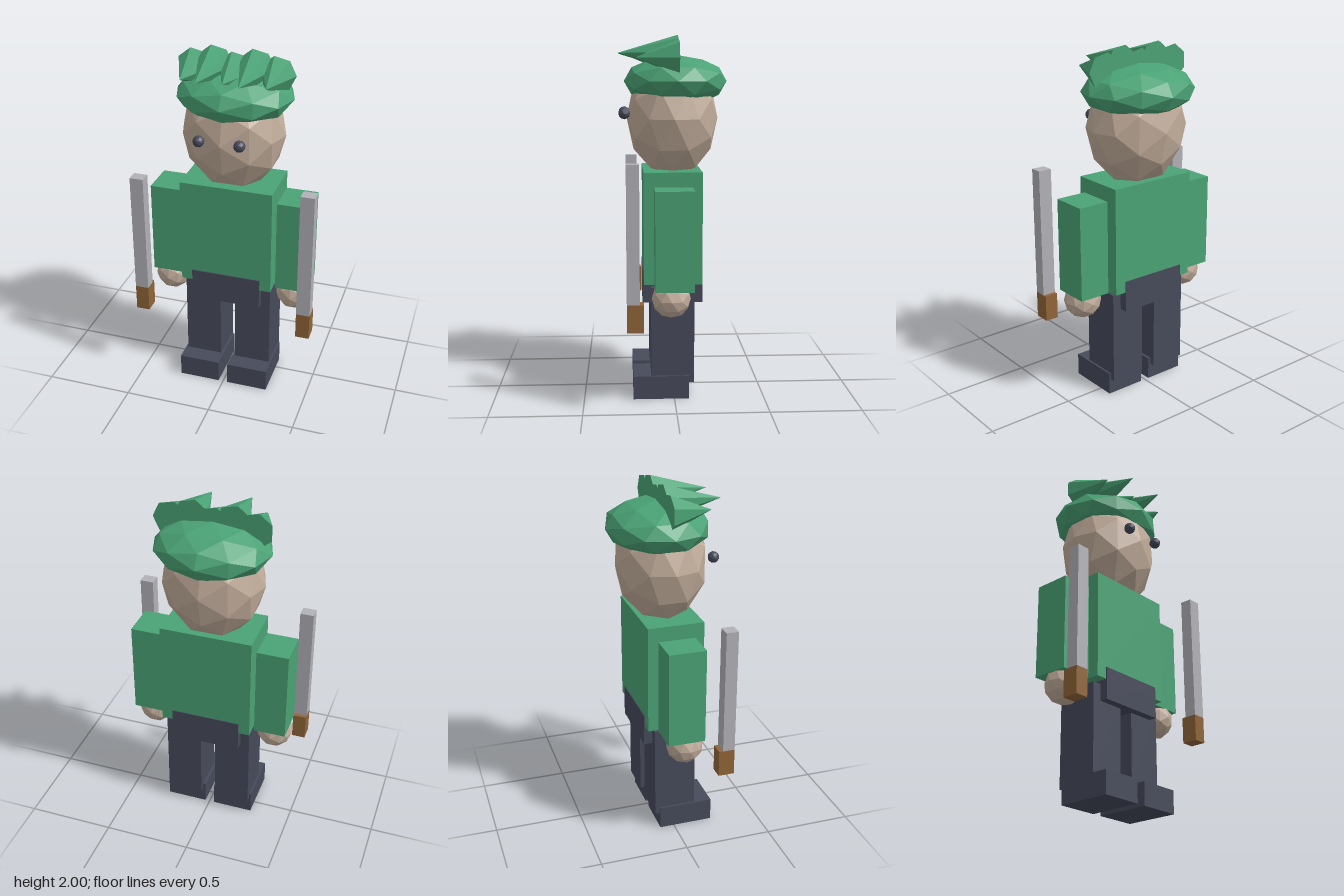
import * as THREE from 'three';

const material = (name, color) => {
  const m = new THREE.MeshStandardMaterial({ color });
  m.name = name;
  return m;
};

export function createModel() {
  const green = material('green cloth', 0x4aa275);
  const skin = material('skin', 0xc2ad9b);
  const dark = material('dark slate', 0x464a5a);
  const steel = material('steel', 0xb1b1b7);
  const wood = material('brown grip', 0x8f6538);

  const model = new THREE.Group();
  model.name = 'swordFigure';

  const add = (name, geometry, mat) => {
    const mesh = new THREE.Mesh(geometry, mat);
    mesh.name = name;
    model.add(mesh);
    return mesh;
  };

  // Box given by its extents on each axis
  const box = (name, mat, [x0, x1], [y0, y1], [z0, z1]) =>
    add(name, new THREE.BoxGeometry(x1 - x0, y1 - y0, z1 - z0), mat)
      .position.set((x0 + x1) / 2, (y0 + y1) / 2, (z0 + z1) / 2);

  // Faceted ball with separate radii
  const ball = (name, mat, [rx, ry, rz], [x, y, z]) => {
    const g = new THREE.IcosahedronGeometry(1, 1).scale(rx, ry, rz);
    g.computeVertexNormals();
    add(name, g, mat).position.set(x, y, z);
  };

  // Torso and hip block
  box('torso', green, [-0.264, 0.264], [0.65, 1.265], [-0.153, 0.167]);
  box('hips', dark, [-0.2, 0.2], [0.535, 0.716], [-0.158, 0.173]);

  // Head and cap
  ball('head', skin, [0.29, 0.335, 0.255], [0, 1.548, 0]);
  ball('cap', green, [0.326, 0.144, 0.287], [0, 1.75, -0.018]);

  // Paired parts
  for (const [side, s] of [['left', 1], ['right', -1]]) {
    const span = (a, b) => (s > 0 ? [a, b] : [-b, -a]);
    box(side + 'Arm', green, span(0.277, 0.459), [0.65, 1.187], [-0.098, 0.111]);
    ball(side + 'Hand', skin, [0.105, 0.105, 0.105], [s * 0.368, 0.598, 0.023]);
    box(side + 'Leg', dark, span(0.044, 0.253), [0.09, 0.63], [-0.11, 0.128]);
    box(side + 'Shoe', dark, span(0.027, 0.265), [0, 0.13], [-0.082, 0.228]);
    ball(side + 'Eye', dark, [0.032, 0.032, 0.032], [s * 0.111, 1.575, 0.268]);
    // The left blade stands slightly taller
    box(side + 'Blade', steel, span(0.44, 0.517), [0.6, s > 0 ? 1.333 : 1.298], [0.194, 0.262]);
    box(side + 'Handle', wood, span(0.44, 0.517), [0.45, 0.6], [0.172, 0.262]);
  }

  // Row of forward pointing spikes: x, y, tip z
  const spikes = [
    [-0.23, 1.875, 0.207], [-0.114, 1.902, 0.302], [0, 1.875, 0.207],
    [0.114, 1.902, 0.302], [0.23, 1.875, 0.207],
  ];
  const back = -0.026;
  for (const [x, y, tip] of spikes) {
    const g = new THREE.ConeGeometry(0.1, tip - back, 7)
      .rotateX(Math.PI / 2).rotateZ(Math.PI / 2).toNonIndexed();
    g.computeVertexNormals();
    add('hairSpike', g, green).position.set(x, y, (tip + back) / 2);
  }

  return model;
}
